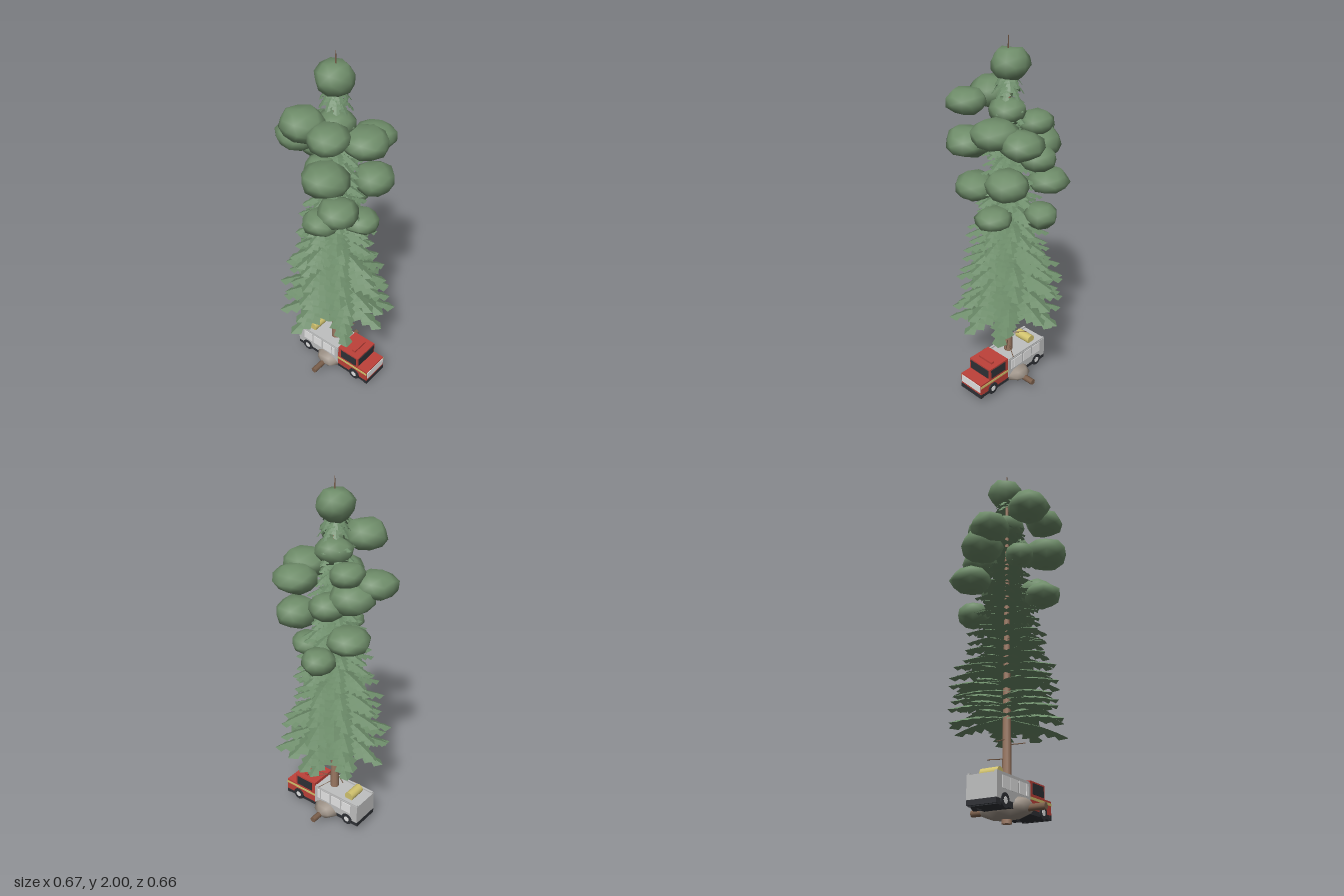
import * as THREE from 'three';
import { mergeVertices, mergeGeometries } from 'three/addons/utils/BufferGeometryUtils.js';

const mat = (name, color, extra = {}) => {
  const m = new THREE.MeshStandardMaterial({ color, ...extra });
  m.name = name;
  return m;
};

export function createModel() {
  const M = {
    canopy: mat('canopy green', 0x6e8c69),
    needle: mat('needle green', 0x6c8b69, { side: THREE.DoubleSide }),
    bark: mat('bark', 0x9b7862),
    log: mat('dark wood', 0x7c604c),
    rock: mat('mound', 0x9a8f84),
    red: mat('red paint', 0xbe4139),
    grey: mat('body grey', 0xbfc0c0),
    white: mat('panel white', 0xe6e6e6),
    dark: mat('black', 0x2f3136),
    yellow: mat('yellow', 0xd2c36e),
  };
  const root = new THREE.Group();
  let seed = 7;
  const rand = () => ((seed = (seed * 16807) % 2147483647) / 2147483647);
  const add = (parent, name, geo, material, x = 0, y = 0, z = 0) => {
    const m = new THREE.Mesh(geo, material);
    m.name = name;
    m.position.set(x, y, z);
    parent.add(m);
    return m;
  };
  const box = (parent, name, material, w, h, d, x, y, z) =>
    add(parent, name, new THREE.BoxGeometry(w, h, d), material, x, y, z);
  const group = (name, x = 0, z = 0) => {
    const g = new THREE.Group();
    g.name = name;
    g.position.set(x, 0, z);
    root.add(g);
    return g;
  };

  // Irregular faceted ball with a flattened top and smooth normals
  const lump = (rx, ry, rz, jitter) => {
    let g = new THREE.IcosahedronGeometry(1, 1);
    g.deleteAttribute('normal');
    g.deleteAttribute('uv');
    g = mergeVertices(g, 1e-3);
    const p = g.attributes.position;
    for (let i = 0; i < p.count; i++) {
      const s = 1 + (rand() - 0.5) * jitter;
      const y = Math.min(p.getY(i) * s, 0.88) * 1.08;
      p.setXYZ(i, p.getX(i) * s * rx, y * ry, p.getZ(i) * s * rz);
    }
    g.computeVertexNormals();
    return g;
  };

  // Trunk and leading shoot
  const tree = group('tree', 0.004, -0.004);
  add(tree, 'trunk', new THREE.CylinderGeometry(0.008, 0.026, 1.88, 10), M.bark, 0, 0.94, 0);
  add(tree, 'topShoot', new THREE.CylinderGeometry(0.002, 0.005, 0.13, 6), M.log, 0, 1.935, 0);

  // Dead twigs on the bare trunk: height, heading x and z, rise
  for (const [y, x, z, dy] of [
    [0.38, -0.06, 0.08, 0.02], [0.26, 0.07, 0.09, 0.04], [0.24, 0.09, 0.05, -0.03],
    [0.31, 0.05, -0.1, -0.02], [0.28, 0.06, 0.08, -0.02], [0.41, 0.01, -0.08, -0.03],
  ]) {
    const curve = new THREE.LineCurve3(new THREE.Vector3(0, y, 0), new THREE.Vector3(x, y + dy, z));
    add(tree, 'twig', new THREE.TubeGeometry(curve, 1, 0.0025, 4), M.log);
  }

  // One drooping roof-shaped frond: swept overlapping barbs ending in a long point
  const frond = (len, drop, width) => {
    const n = 5, v = [];
    const spine = (t) => [t * len, -drop * t * t, 0];
    for (let i = 0; i < n; i++) {
      const a = i / (n + 1.2);
      const w = width * (1 - 0.95 * a);
      const t = a + 0.24;
      for (const s of [1, -1]) {
        const tip = [t * len, -drop * t * t - w * 0.45, -s * w];
        const order = [spine(a), spine(Math.min(a + 0.4, 1)), tip];
        if (s < 0) order.reverse();
        v.push(...order.flat());
      }
    }
    const g = new THREE.BufferGeometry();
    g.setAttribute('position', new THREE.Float32BufferAttribute(v, 3));
    g.computeVertexNormals();
    return g;
  };

  // Whorls of fronds in eight loose columns, shortening with height
  const reach = [[0.53, 0.325], [0.75, 0.285], [1.08, 0.2], [1.25, 0.165], [1.55, 0.12], [1.84, 0.075]];
  const reachAt = (y) => {
    let i = 0;
    while (i < reach.length - 2 && y > reach[i + 1][0]) i++;
    const [y0, l0] = reach[i], [y1, l1] = reach[i + 1];
    return l0 + ((l1 - l0) * (y - y0)) / (y1 - y0);
  };
  const fronds = [];
  for (let k = 0; k < 28; k++) {
    const y = 0.525 + k * 0.0485;
    if (y > 1.7 && y < 1.78) continue; // bare trunk below the crown
    for (let j = 0; j < 8; j++) {
      const len = reachAt(y) * (0.88 + rand() * 0.2);
      const g = frond(len, 0.025 + len * 0.13 + (y > 1.7 ? 0.035 : 0), 0.022 + len * 0.24);
      g.rotateY((j / 8) * Math.PI * 2 + (rand() - 0.5) * 0.45);
      g.translate(0, y + (rand() - 0.5) * 0.03, 0);
      fronds.push(g);
    }
  }
  add(tree, 'needleFronds', mergeGeometries(fronds), M.needle);

  // Foliage pads: centre x, y, z, radius, half height
  const canopy = group('canopy');
  for (const [x, y, z, r, h] of [
    [0.006, 1.867, -0.012, 0.098, 0.078],
    [-0.17, 1.69, -0.06, 0.115, 0.075], [-0.176, 1.67, 0.105, 0.105, 0.065],
    [0.005, 1.64, 0, 0.098, 0.065], [0.07, 1.565, -0.13, 0.092, 0.058],
    [0.052, 1.565, 0.145, 0.122, 0.068], [0.185, 1.53, 0.095, 0.11, 0.07],
    [-0.188, 1.455, 0.09, 0.12, 0.075], [-0.09, 1.43, -0.02, 0.08, 0.06],
    [-0.027, 1.51, -0.228, 0.112, 0.066], [0.07, 1.455, -0.16, 0.118, 0.078],
    [0.14, 1.41, -0.07, 0.1, 0.064], [0.13, 1.32, 0.14, 0.11, 0.075],
    [0.12, 1.25, -0.18, 0.112, 0.063], [-0.12, 1.235, 0.11, 0.107, 0.067],
    [-0.18, 1.19, 0.06, 0.1, 0.058], [0.04, 1.11, 0.14, 0.097, 0.056],
    [0.192, 1.12, -0.045, 0.088, 0.062],
  ]) add(canopy, 'foliagePad', lump(r, h, r, 0.16), M.canopy, x, y, z);

  // Earth mound and cross log at the foot
  const base = group('base');
  add(base, 'mound', lump(0.145, 0.056, 0.098, 0.14), M.rock, 0.005, 0.073, 0);
  add(base, 'log', new THREE.CylinderGeometry(0.017, 0.017, 0.41, 8).rotateZ(Math.PI / 2), M.log, 0, 0.065, 0);

  // Fire truck wrapped round the trunk, facing +z
  const truck = group('fireTruck', 0.004, -0.006);
  box(truck, 'chassis', M.dark, 0.155, 0.03, 0.5, 0, 0.067, 0.04);
  box(truck, 'hood', M.red, 0.16, 0.07, 0.215, 0, 0.11, 0.1925);
  box(truck, 'cab', M.red, 0.16, 0.07, 0.145, 0, 0.178, 0.16);
  box(truck, 'roofBar', M.red, 0.1, 0.012, 0.022, 0, 0.219, 0.178);
  box(truck, 'windscreen', M.dark, 0.14, 0.052, 0.004, 0, 0.178, 0.234);
  box(truck, 'grille', M.white, 0.148, 0.046, 0.005, 0, 0.115, 0.301);
  box(truck, 'frontBumper', M.dark, 0.16, 0.026, 0.02, 0, 0.064, 0.292);
  box(truck, 'body', M.grey, 0.165, 0.115, 0.305, 0, 0.138, -0.0675);
  box(truck, 'rearBumper', M.dark, 0.16, 0.025, 0.012, 0, 0.068, -0.216);
  for (const s of [-1, 1]) {
    box(truck, 'sideWindow', M.dark, 0.004, 0.054, 0.11, s * 0.081, 0.177, 0.165);
    box(truck, 'sideStripe', M.yellow, 0.004, 0.013, 0.215, s * 0.081, 0.128, 0.1925);
    box(truck, 'roofRail', M.grey, 0.012, 0.01, 0.3, s * 0.074, 0.199, -0.0675);
    for (const [z, w] of [[0.054, 0.02], [0.006, 0.064], [-0.07, 0.064], [-0.144, 0.064]])
      box(truck, 'sidePanel', M.white, 0.005, 0.06, w, s * 0.083, 0.158, z);
    for (const z of [0.21, -0.15]) {
      const disc = (r, w) => new THREE.CylinderGeometry(r, r, w, 16).rotateZ(Math.PI / 2);
      add(truck, 'wheel', disc(0.035, 0.03), M.dark, s * 0.071, 0.077, z);
      add(truck, 'wheelHub', disc(0.017, 0.006), M.white, s * 0.084, 0.077, z);
    }
  }
  add(truck, 'hoseReel', new THREE.CylinderGeometry(0.027, 0.027, 0.1, 16).rotateZ(Math.PI / 2), M.yellow, 0, 0.211, -0.138);
  return root;
}
